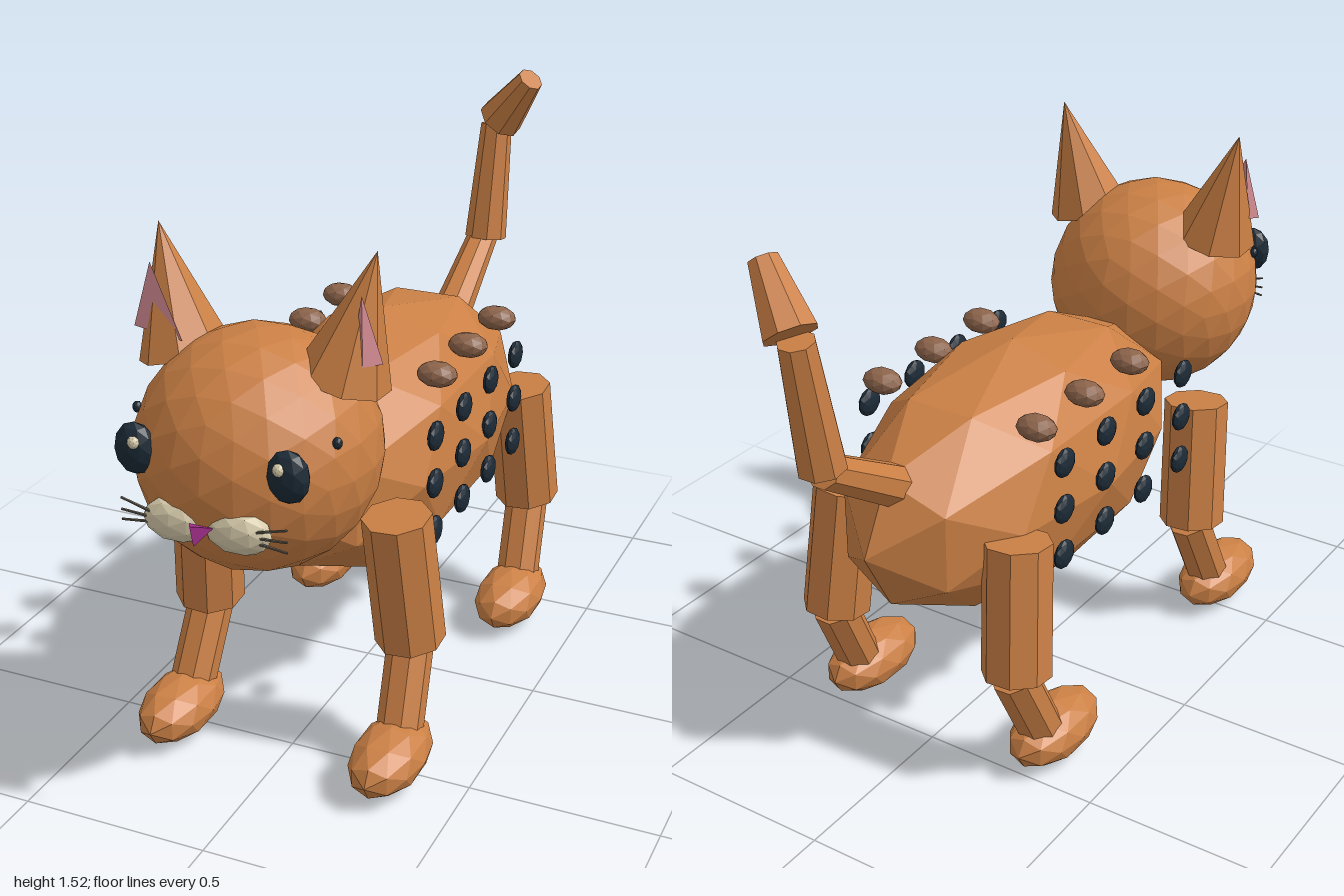
import * as THREE from 'three';

const paint = (name, color, side = THREE.FrontSide) =>
  new THREE.MeshStandardMaterial({ name, color, side, flatShading: true });

export function createModel() {
  const fur = paint('orange fur', 0xcb8045);
  const dark = paint('dark navy', 0x1c2a36);
  const brown = paint('brown', 0x8d644b);
  const cream = paint('cream', 0xd6caaa);
  const pink = paint('pink', 0xd98f96, THREE.DoubleSide);
  const magenta = paint('magenta', 0xa83090, THREE.DoubleSide);
  const grey = paint('whisker grey', 0x645e52);

  const cat = new THREE.Group();
  cat.name = 'cat';
  const V = (p) => new THREE.Vector3(...p);

  function add(name, geometry, material) {
    const mesh = new THREE.Mesh(geometry, material);
    mesh.name = name;
    cat.add(mesh);
    return mesh;
  }

  // faceted ellipsoid
  function blob(name, material, pos, radii, detail = 1) {
    const mesh = add(name, new THREE.IcosahedronGeometry(1, detail), material);
    mesh.position.set(...pos);
    mesh.scale.set(...radii);
    return mesh;
  }

  // tapered prism from point a to point b
  function limb(name, material, a, b, ra, rb, sides = 8) {
    const from = V(a), to = V(b), dir = to.clone().sub(from);
    const geo = new THREE.CylinderGeometry(rb, ra, dir.length(), sides);
    geo.rotateY(Math.PI / sides);
    const mesh = add(name, geo, material);
    mesh.position.copy(from).add(to).multiplyScalar(0.5);
    mesh.quaternion.setFromUnitVectors(new THREE.Vector3(0, 1, 0), dir.normalize());
    return mesh;
  }

  // faces given as corner indices into a short point list
  function facets(name, material, points, faces) {
    const geo = new THREE.BufferGeometry().setFromPoints(faces.flat().map((i) => V(points[i])));
    geo.computeVertexNormals();
    return add(name, geo, material);
  }

  blob('body', fur, [0, 0.69, -0.1], [0.31, 0.34, 0.65]);
  blob('head', fur, [0, 0.93, 0.645], [0.3, 0.3, 0.305], 3);

  for (const s of [1, -1]) {
    const side = s > 0 ? 'left' : 'right';

    // legs, the hind pair repeating the front pair
    for (const [pair, dz] of [['Front', 0], ['Hind', -0.915]]) {
      const leg = side + pair;
      limb(leg + 'UpperLeg', fur, [s * 0.29, 0.335, 0.393 + dz], [s * 0.267, 0.698, 0.435 + dz], 0.092, 0.09);
      limb(leg + 'LowerLeg', fur, [s * 0.302, 0.1, 0.495 + dz], [s * 0.288, 0.34, 0.38 + dz], 0.061, 0.061);
      blob(leg + 'Paw', fur, [s * 0.303, 0.08, 0.55 + dz], [0.095, 0.08, 0.17]);
    }

    // ears
    limb(side + 'Ear', fur, [s * 0.205, 1.125, 0.615], [s * 0.281, 1.437, 0.59], 0.117, 0);

    // face
    blob(side + 'Eye', dark, [s * 0.195, 0.99, 0.888], [0.053, 0.066, 0.034]);
    blob(side + 'EyeHighlight', cream, [s * 0.184, 1.016, 0.915], [0.015, 0.016, 0.013]);
    blob(side + 'Freckle', dark, [s * 0.259, 1.033, 0.765], [0.012, 0.015, 0.012]);
    blob(side + 'Muzzle', cream, [s * 0.08, 0.842, 0.915], [0.085, 0.055, 0.04]);
    for (const y of [0.882, 0.852, 0.826]) {
      limb(side + 'Whisker', grey, [s * 0.11, 0.845 + (y - 0.85) * 0.3, 0.935], [s * 0.212, y, 0.935], 0.004, 0.003, 5);
    }

    // flank spots in three rows of four
    for (const y of [0.857, 0.725, 0.592]) {
      for (const z of [0.275, 0.075, -0.125, -0.325]) {
        blob(side + 'FlankSpot', dark, [s * 0.305, y, z], [0.017, 0.04, 0.042]);
      }
    }
    // shoulder spots along the back
    for (const z of [0.1, -0.125, -0.35]) {
      blob(side + 'BackSpot', brown, [s * 0.238, 0.947, z], [0.056, 0.034, 0.043]);
    }
  }

  // inner ears, the left one mostly tucked into its ear
  facets('rightInnerEar', pink,
    [[-0.322, 1.19, 0.655], [-0.168, 1.19, 0.7], [-0.275, 1.355, 0.65], [-0.3, 1.19, 0.63]],
    [[0, 1, 2], [3, 0, 2]]);
  facets('leftInnerEar', pink,
    [[0.28, 1.185, 0.672], [0.315, 1.185, 0.635], [0.27, 1.35, 0.655], [0.24, 1.2, 0.64]],
    [[0, 1, 2], [3, 0, 2]]);

  // nose: small pyramid pointing down
  facets('nose', magenta,
    [[0, 0.878, 0.997], [0.031, 0.855, 0.943], [-0.031, 0.855, 0.943], [0, 0.82, 0.982]],
    [[0, 1, 2], [0, 3, 1], [0, 2, 3], [1, 3, 2]]);

  // tail
  limb('tailBase', fur, [0, 0.8, -0.56], [0, 1.0, -0.88], 0.06, 0.045);
  limb('tailMiddle', fur, [0.012, 1.0, -0.87], [0.018, 1.34, -0.925], 0.062, 0.046);
  limb('tailTip', fur, [0.028, 1.355, -0.93], [0.135, 1.495, -0.883], 0.068, 0.038);

  return cat;
}
